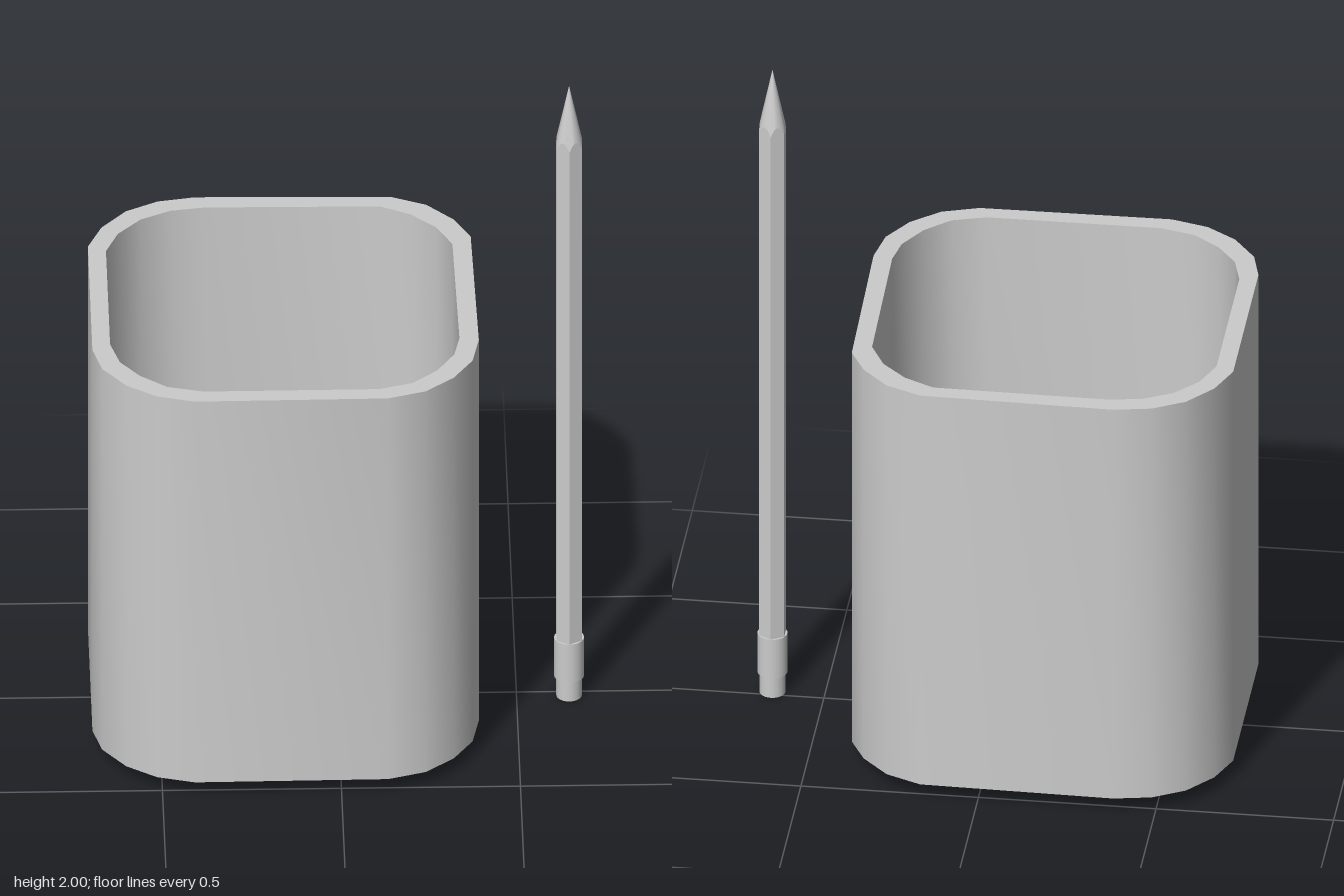
import * as THREE from 'three';
import { toCreasedNormals } from 'three/addons/utils/BufferGeometryUtils.js';

const material = new THREE.MeshStandardMaterial({ color: 0xcccccc });

// Skins a list of rings of [x, y, z]; a ring of one point is a pole.
function loft(name, rings, crease = 0.6) {
  const n = Math.max(...rings.map((r) => r.length));
  const at = (ring, i) => ring[i % ring.length];
  const pos = [];
  for (let k = 0; k < rings.length - 1; k++) {
    const a = rings[k], b = rings[k + 1];
    for (let i = 0; i < n; i++) {
      const j = (i + 1) % n;
      if (b.length > 1) pos.push(...at(a, i), ...at(b, i), ...at(b, j));
      if (a.length > 1) pos.push(...at(a, i), ...at(b, j), ...at(a, j));
    }
  }
  const geometry = new THREE.BufferGeometry();
  geometry.setAttribute('position', new THREE.Float32BufferAttribute(pos, 3));
  const mesh = new THREE.Mesh(toCreasedNormals(geometry, crease), material);
  mesh.name = name;
  return mesh;
}

// Slightly uneven rounded-square outlines of the holder, as [x, z]
const outer = [
  [-0.385, -0.545], [0.16, -0.535], [0.26, -0.49], [0.335, -0.41], [0.38, -0.32],
  [0.39, 0.23], [0.37, 0.34], [0.315, 0.43], [0.235, 0.5], [0.13, 0.535],
  [-0.41, 0.54], [-0.515, 0.51], [-0.6, 0.45], [-0.665, 0.36], [-0.69, 0.26],
  [-0.69, -0.29], [-0.65, -0.39], [-0.58, -0.475], [-0.49, -0.525],
];
const inner = [
  [-0.36, -0.49], [0.13, -0.485], [0.215, -0.44], [0.285, -0.37], [0.328, -0.28],
  [0.336, 0.22], [0.32, 0.305], [0.27, 0.39], [0.2, 0.455], [0.105, 0.485],
  [-0.385, 0.487], [-0.485, 0.46], [-0.56, 0.4], [-0.615, 0.325], [-0.64, 0.23],
  [-0.64, -0.265], [-0.605, -0.355], [-0.54, -0.43], [-0.455, -0.475],
];

function makeHolder() {
  const level = (outline, y) => outline.map(([x, z]) => [x, y, z]);
  const bottom = 0.05, floor = 0.1, rim = 1.3;
  return loft('holder', [
    [[-0.15, bottom, 0]], level(outer, bottom), level(outer, rim),
    level(inner, rim), level(inner, floor), [[-0.15, floor, 0]],
  ]);
}

function makePencil() {
  const pencil = new THREE.Group();
  pencil.name = 'pencil';
  pencil.position.set(0.647, 0, 0.018);

  // Hexagonal shaft, corners towards front and back; the round sharpening
  // cone cuts it along a scalloped edge.
  const flat = 0.0355, slope = 0.17 / flat, sides = 24;
  const hex = (height) => Array.from({ length: sides }, (_, i) => {
    const angle = (i / sides) * Math.PI * 2;
    const off = angle - Math.round(angle / (Math.PI / 3)) * (Math.PI / 3);
    const r = flat / Math.cos(off);
    return [Math.cos(angle) * r, height(r), Math.sin(angle) * r];
  });
  const shoulder = hex((r) => 2 - slope * r);
  pencil.add(loft('shaft', [[[0, 0.18, 0]], hex(() => 0.18), shoulder]));
  pencil.add(loft('sharpenedTip', [shoulder, [[0, 2, 0]]], 1));

  // Round ferrule and eraser
  for (const [name, radius, y0, y1] of [['ferrule', 0.042, 0.065, 0.19], ['eraser', 0.036, 0, 0.08]]) {
    const mesh = new THREE.Mesh(new THREE.CylinderGeometry(radius, radius, y1 - y0, 24), material);
    mesh.position.y = (y0 + y1) / 2;
    mesh.name = name;
    pencil.add(mesh);
  }
  return pencil;
}

export function createModel() {
  const model = new THREE.Group();
  model.name = 'pencilHolderAndPencil';
  model.add(makeHolder(), makePencil());
  return model;
}
